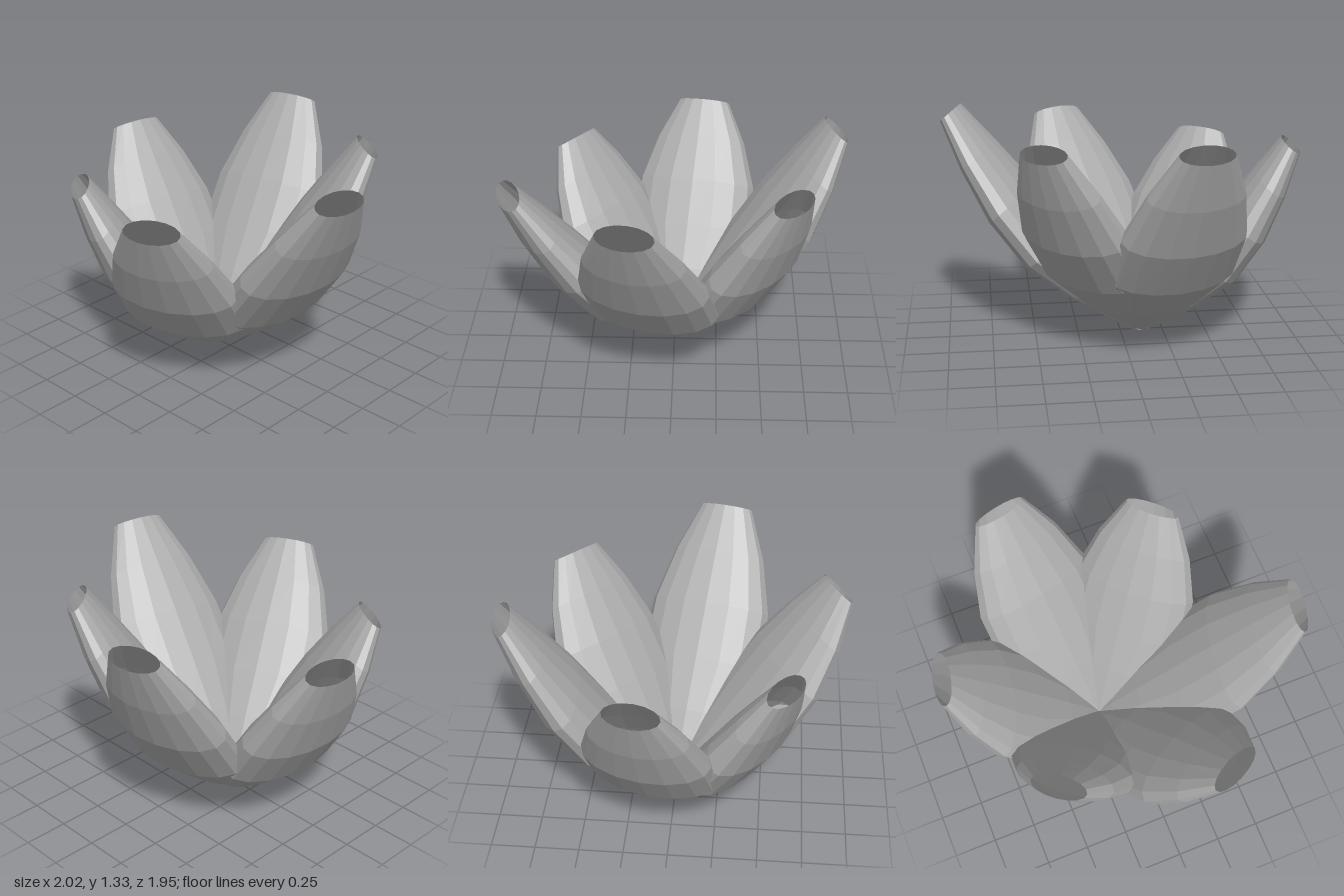
import * as THREE from 'three';

// Petal cross-sections: [fraction of length, half width, inner depth, outer depth]
const RINGS = [
  [0, 0.06, -0.02, 0.025],
  [0.1, 0.15, -0.035, 0.09],
  [0.25, 0.27, -0.05, 0.17],
  [0.44, 0.37, -0.06, 0.24],
  [0.64, 0.36, -0.07, 0.225],
  [0.83, 0.275, -0.07, 0.155],
  [1, 0.155, -0.067, 0.067],
];

// Flattened open tube: nearly straight on the inside, bulging on the outside
function petalGeometry(length) {
  const steps = RINGS.length - 1;
  const geo = new THREE.CylinderGeometry(1, 1, 1, 16, steps, true);
  const pos = geo.attributes.position;
  for (let i = 0; i < pos.count; i++) {
    const [f, width, inner, outer] = RINGS[Math.round((pos.getY(i) + 0.5) * steps)];
    const z = (inner + outer) / 2 + pos.getZ(i) * (outer - inner) / 2;
    pos.setXYZ(i, pos.getX(i) * width, f * length, z);
  }
  geo.computeVertexNormals();
  return geo;
}

export function createModel() {
  const model = new THREE.Group();
  model.name = 'flower';
  const grey = new THREE.MeshStandardMaterial({ color: 0xaaaaaa, flatShading: true, side: THREE.DoubleSide });
  grey.name = 'petal grey';

  const base = new THREE.Vector3(-0.12, 0.02, -0.01);
  // Centre of each petal's open tip
  const tips = [
    [0.95, 1.29, 0.22],
    [0.30, 1.15, 0.89],
    [-0.58, 1.06, 0.61],
    [-0.95, 1.135, -0.16],
    [-0.33, 1.26, -0.92],
    [0.47, 1.22, -0.64],
  ];
  tips.forEach((tip, i) => {
    const d = new THREE.Vector3(...tip).sub(base);
    const petal = new THREE.Mesh(petalGeometry(d.length()), grey);
    petal.name = `petal${i + 1}`;
    petal.position.copy(base);
    // Lean outward, then turn to the petal's direction
    petal.rotation.set(Math.atan2(Math.hypot(d.x, d.z), d.y), Math.atan2(d.x, d.z), 0, 'YXZ');
    model.add(petal);
  });
  return model;
}
